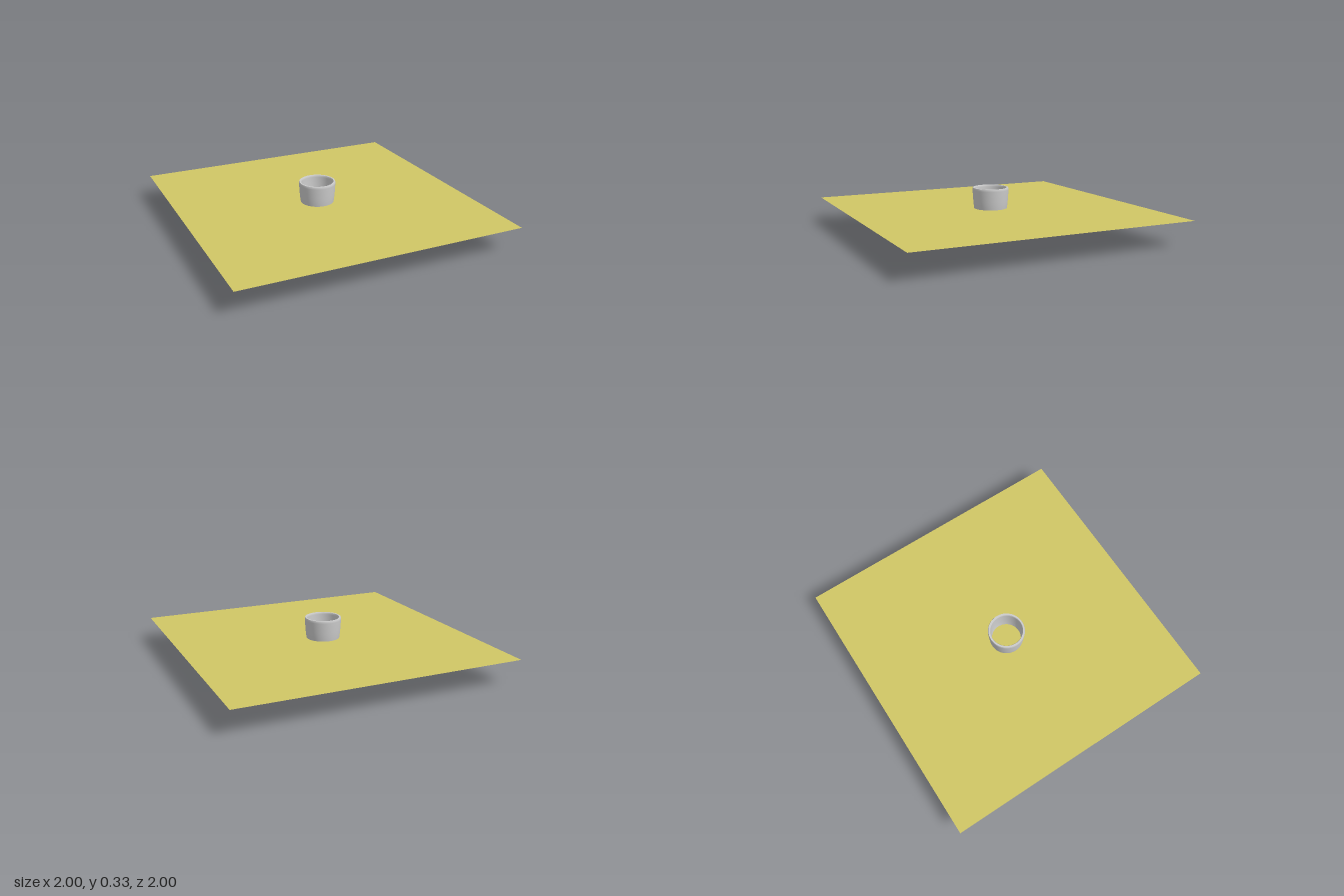
import * as THREE from 'three';
import { toCreasedNormals } from 'three/addons/utils/BufferGeometryUtils.js';

export function createModel() {
  const model = new THREE.Group();

  // Cup: curved outer wall, narrow rim, hollow inside with a floor
  const outer = new THREE.SplineCurve([
    [0.077, 0.005], [0.092, 0.055], [0.108, 0.12], [0.121, 0.2], [0.127, 0.27], [0.13, 0.322],
  ].map(([r, y]) => new THREE.Vector2(r, y))).getPoints(20);
  const inner = new THREE.SplineCurve([
    [0.113, 0.325], [0.111, 0.27], [0.106, 0.2], [0.094, 0.12], [0.078, 0.055], [0.066, 0.025],
  ].map(([r, y]) => new THREE.Vector2(r, y))).getPoints(20);
  const profile = [
    new THREE.Vector2(0, 0), new THREE.Vector2(0.074, 0),
    ...outer,
    new THREE.Vector2(0.127, 0.33), new THREE.Vector2(0.116, 0.33),
    ...inner,
    new THREE.Vector2(0, 0.025),
  ];
  const cup = new THREE.Mesh(
    toCreasedNormals(new THREE.LatheGeometry(profile, 64), 0.6),
    new THREE.MeshStandardMaterial({ color: 0xcccccc }),
  );
  cup.name = 'cup';
  cup.position.x = -0.026;
  model.add(cup);

  // Thin square sheet crossing the cup at mid height
  const sheet = new THREE.Mesh(
    new THREE.PlaneGeometry(2, 2).rotateX(-Math.PI / 2),
    new THREE.MeshStandardMaterial({ color: 0xd0c665, side: THREE.DoubleSide }),
  );
  sheet.name = 'sheet';
  sheet.position.y = 0.18;
  model.add(sheet);

  return model;
}
